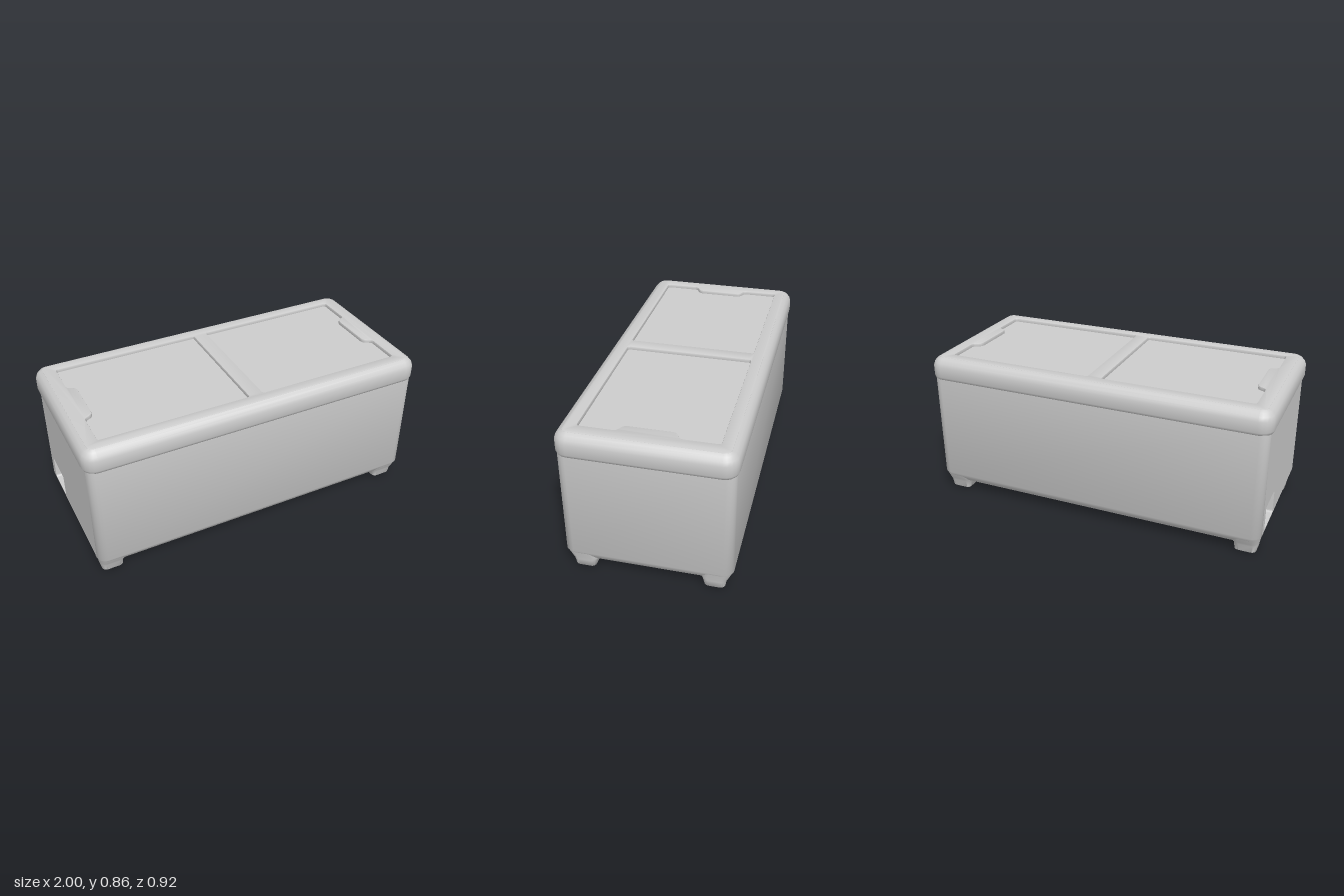
import * as THREE from 'three';
import { toCreasedNormals } from 'three/addons/utils/BufferGeometryUtils.js';

// Rounded rectangle outline, starting and ending on the -x side
function ring(hx, hz, r, seg = 5) {
  const pts = [];
  const signs = [[-1, -1], [1, -1], [1, 1], [-1, 1]];
  signs.forEach(([sx, sz], k) => {
    for (let i = 0; i <= seg; i++) {
      const a = Math.PI + (k + i / seg) * Math.PI / 2;
      pts.push([sx * (hx - r) + r * Math.cos(a), sz * (hz - r) + r * Math.sin(a)]);
    }
  });
  return pts;
}

// Stack of rounded rectangles: rows are [y, halfX, halfZ, radius, centreX, centreZ], bottom to top.
// openRow leaves the flat -x strip above that row empty.
function loft(rows, { bottomCap = false, openRow = -1 } = {}) {
  const pos = [], idx = [];
  let n = 0;
  for (const [y, hx, hz, r, cx = 0, cz = 0] of rows) {
    const pts = ring(hx, hz, r);
    n = pts.length;
    pts.forEach(([x, z]) => pos.push(x + cx, y, z + cz));
  }
  for (let i = 0; i < rows.length - 1; i++) {
    for (let j = 0; j < n; j++) {
      if (i === openRow && j === n - 1) continue;
      const a = i * n + j, b = i * n + (j + 1) % n;
      idx.push(a, a + n, b, b, a + n, b + n);
    }
  }
  if (bottomCap) for (let j = 1; j < n - 1; j++) idx.push(0, j, j + 1);
  const g = new THREE.BufferGeometry();
  g.setAttribute('position', new THREE.Float32BufferAttribute(pos, 3));
  g.setIndex(idx);
  return toCreasedNormals(g, 0.75);
}

// Closed path with rounded corners
function roundedPath(path, pts, r) {
  const v = pts.map(p => new THREE.Vector2(...p));
  v.forEach((p, i) => {
    const prev = v[(i + v.length - 1) % v.length], next = v[(i + 1) % v.length];
    const a = prev.clone().sub(p).setLength(r).add(p);
    const b = next.clone().sub(p).setLength(r).add(p);
    if (i === 0) path.moveTo(a.x, a.y); else path.lineTo(a.x, a.y);
    path.quadraticCurveTo(p.x, p.y, b.x, b.y);
  });
  path.closePath();
  return path;
}

export function createModel() {
  const group = new THREE.Group();
  const grey = new THREE.MeshStandardMaterial({ color: 0xcccccc });
  grey.name = 'light grey';
  const add = (name, geometry) => {
    const mesh = new THREE.Mesh(geometry, grey);
    mesh.name = name;
    group.add(mesh);
    return mesh;
  };

  // Cabinet with a tapered lower edge
  const HX = 0.985, HZ = 0.452, R = 0.05;
  add('cabinet', loft([
    [0.068, HX - 0.03, HZ - 0.035, R],
    [0.09, HX - 0.015, HZ - 0.018, R],
    [0.12, HX, HZ, R],
    [0.74, HX, HZ, R],
  ], { bottomCap: true, openRow: 2 }));

  // Right side panel with the service opening near the back
  const w = HZ - R;
  const panel = roundedPath(new THREE.Shape(), [[-w, 0.12], [w, 0.12], [w, 0.74], [-w, 0.74]], 0.0005);
  panel.holes.push(roundedPath(new THREE.Path(),
    [[-0.35, 0.126], [-0.15, 0.126], [-0.15, 0.27], [-0.35, 0.27]], 0.015));
  const panelGeo = new THREE.ExtrudeGeometry(panel, { depth: 0.06, bevelEnabled: false, curveSegments: 4 });
  panelGeo.rotateY(-Math.PI / 2).translate(-HX + 0.06, 0, 0);
  add('sidePanel', panelGeo);

  // Rounded collar around the top
  const lid = [[0.728, 0.018], [0.734, 0.007], [0.75, 0], [0.81, 0], [0.832, 0.008], [0.85, 0.024], [0.862, 0.046]];
  add('lidCollar', loft(lid.map(([y, d]) => [y, 1 - d, 0.461 - d, 0.075 - d]), { bottomCap: true }));

  // Top frame with two openings, each with a grip tab at its outer end
  const rim = new THREE.Shape(ring(0.954, 0.415, 0.029).map(p => new THREE.Vector2(...p)));
  for (const s of [-1, 1]) {
    const outline = [
      [0.035, -0.365], [0.895, -0.365], [0.895, -0.155], [0.845, -0.13],
      [0.845, 0.13], [0.895, 0.155], [0.895, 0.365], [0.035, 0.365],
    ].map(([x, y]) => [s * x, y]);
    rim.holes.push(roundedPath(new THREE.Path(), outline, 0.02));
  }
  const rimGeo = new THREE.ExtrudeGeometry(rim, {
    depth: 0.018, bevelThickness: 0.006, bevelSize: 0.006, bevelSegments: 2, curveSegments: 4,
  });
  rimGeo.rotateX(-Math.PI / 2).translate(0, 0.838, 0);
  add('topFrame', toCreasedNormals(rimGeo, 0.6));

  // Sunken sliding covers
  for (const s of [-1, 1]) {
    const cover = add(s > 0 ? 'leftCover' : 'rightCover', new THREE.BoxGeometry(0.9, 0.008, 0.76));
    cover.position.set(s * 0.465, 0.838, 0);
  }

  // Tapered corner feet blending into the cabinet
  for (const sx of [-1, 1]) {
    for (const sz of [-1, 1]) {
      const rows = [
        [0, 0.052, 0.048, 0.02, 0.899, 0.35],
        [0.008, 0.06, 0.056, 0.025, 0.899, 0.352],
        [0.05, 0.066, 0.064, 0.03, 0.9, 0.351],
        [0.068, 0.074, 0.074, 0.035, 0.895, 0.352],
        [0.12, 0.078, 0.08, 0.04, 0.903, 0.368],
      ];
      const name = (sz > 0 ? 'front' : 'back') + (sx > 0 ? 'Left' : 'Right') + 'Foot';
      add(name, loft(rows.map(([y, a, b, r, cx, cz]) => [y, a, b, r, sx * cx, sz * cz]), { bottomCap: true }));
    }
  }
  return group;
}
